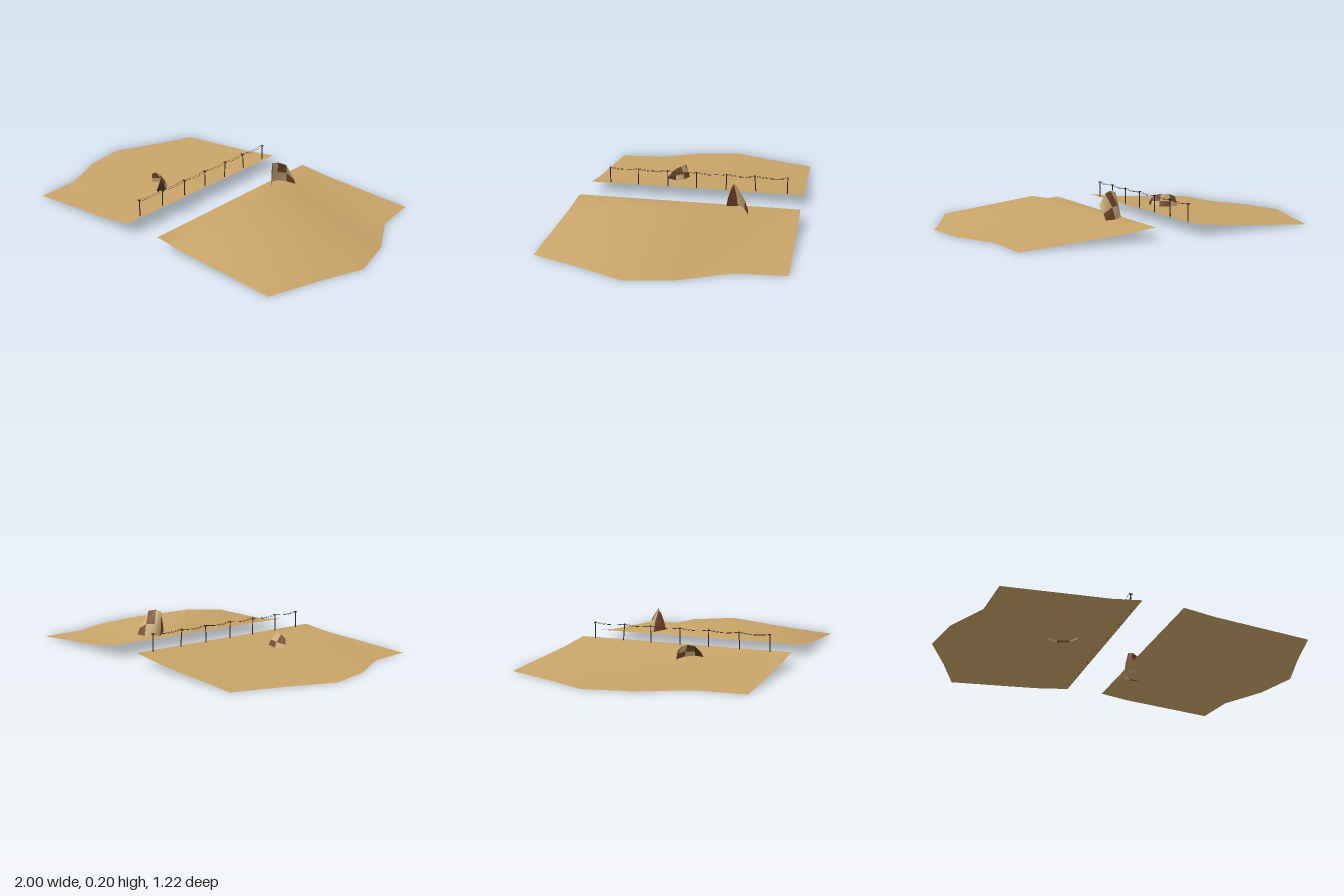
import * as THREE from 'three';

const mat = (name, color, side = THREE.FrontSide) => {
  const m = new THREE.MeshStandardMaterial({ color, side });
  m.name = name;
  return m;
};

// Smooth sheet through rows of [x, y, z] points; pattern holds one material index per cell
function sheet(name, rows, materials, pattern) {
  const n = rows[0].length, index = [];
  const g = new THREE.BufferGeometry();
  g.setAttribute('position', new THREE.Float32BufferAttribute(rows.flat(2), 3));
  for (let i = 0; i < rows.length - 1; i++) {
    for (let j = 0; j < n - 1; j++) {
      const a = i * n + j, b = a + 1, c = a + n, d = c + 1;
      if (pattern) g.addGroup(index.length, 6, Number(pattern[i][j]));
      index.push(a, c, d, a, d, b);
    }
  }
  g.setIndex(index);
  g.computeVertexNormals();
  const mesh = new THREE.Mesh(g, materials);
  mesh.name = name;
  return mesh;
}

// Inserts a bulging middle row between the foot and the rim of a shell
function shellRows(foot, rim, bulge) {
  const middle = foot.map((p, i) => p.map((v, k) => {
    const t = k === 1 ? 0.5 : 0.5 - bulge;
    return v + (rim[i][k] - v) * t;
  }));
  return [foot, middle, rim];
}

export function createModel() {
  const model = new THREE.Group();
  model.name = 'desertRoadside';
  const sand = mat('sand', 0xc8a468, THREE.DoubleSide);
  const stone = [
    mat('paleStone', 0xd0b07c, THREE.DoubleSide),
    mat('redBrownStone', 0x7c4a2c, THREE.DoubleSide),
    mat('darkStone', 0x4c3220, THREE.DoubleSide),
  ];
  const wood = mat('fenceDark', 0x352a20);

  // Ground on both sides of the gap
  const zs = [-0.61, -0.36, -0.12, 0.12, 0.36, 0.61];
  const edge = [0.81, 0.83, 0.95, 1.0, 0.9, 0.81];
  const crest = [[0.28, 0.036], [0.25, 0.06], [0.35, 0.115], [0.4, 0.13], [0.37, 0.107], [0.28, 0.036]];
  const slope = [[-0.31, 0.034], [-0.35, 0.03], [-0.33, 0.032], [-0.3, 0.035], [-0.16, 0.05], [-0.27, 0.036]];
  model.add(sheet('duneGround', zs.map((z, i) =>
    [[0.11, 0.057, z], [...crest[i], z], [edge[i], 0, z]]), sand));
  model.add(sheet('flatGround', zs.map((z, i) =>
    [[-edge[5 - i], 0, z], [...slope[i], z], [-0.11, 0.057, z]]), sand));

  // Tall curved rock on the dune side
  model.add(sheet('tallRock', shellRows(
    [[0.25, 0.06, -0.35], [0.19, 0.055, -0.345], [0.145, 0.055, -0.315], [0.132, 0.055, -0.28], [0.18, 0.06, -0.222]],
    [[0.262, 0.13, -0.295], [0.225, 0.19, -0.29], [0.185, 0.2, -0.27], [0.15, 0.19, -0.258], [0.165, 0.172, -0.248]],
    0.15), stone, ['1001', '0101']));

  // Low curved rock on the flat side
  model.add(sheet('lowRock', shellRows(
    [[-0.442, 0.02, 0.105], [-0.38, 0.02, 0.08], [-0.315, 0.025, 0.1], [-0.285, 0.03, 0.145], [-0.305, 0.025, 0.205]],
    [[-0.43, 0.083, 0.112], [-0.395, 0.1, 0.115], [-0.345, 0.103, 0.13], [-0.315, 0.092, 0.16], [-0.306, 0.06, 0.19]],
    0.15), stone, ['0102', '1012']));

  // Posts with a short crossbar
  const fence = new THREE.Group();
  fence.name = 'fence';
  const postZ = [0.5, 0.335, 0.16, -0.005, -0.175, -0.345, -0.52];
  const tilt = [0, -0.04, 0.02, 0, -0.03, 0.09, 0];
  postZ.forEach((z, i) => {
    const post = new THREE.Group();
    post.name = 'fencePost';
    const pole = new THREE.Mesh(new THREE.CylinderGeometry(0.0025, 0.003, 0.098, 6), wood);
    pole.name = 'pole';
    pole.position.y = 0.049;
    const bar = new THREE.Mesh(new THREE.BoxGeometry(0.02, 0.005, 0.004), wood);
    bar.name = 'crossbar';
    bar.position.y = 0.094;
    post.add(pole, bar);
    post.position.set(-0.128, 0.05, z);
    post.rotation.x = tilt[i];
    fence.add(post);
  });

  // Two sagging wires between neighbouring posts
  for (const x of [-0.136, -0.12]) {
    for (let i = 0; i < postZ.length - 1; i++) {
      const a = postZ[i], b = postZ[i + 1];
      const curve = new THREE.QuadraticBezierCurve3(
        new THREE.Vector3(x, 0.146, a + tilt[i] * 0.094),
        new THREE.Vector3(x, 0.128, (a + b) / 2),
        new THREE.Vector3(x, 0.146, b + tilt[i + 1] * 0.094));
      const wire = new THREE.Mesh(new THREE.TubeGeometry(curve, 8, 0.0008, 4), wood);
      wire.name = 'fenceWire';
      fence.add(wire);
    }
  }
  model.add(fence);
  return model;
}
